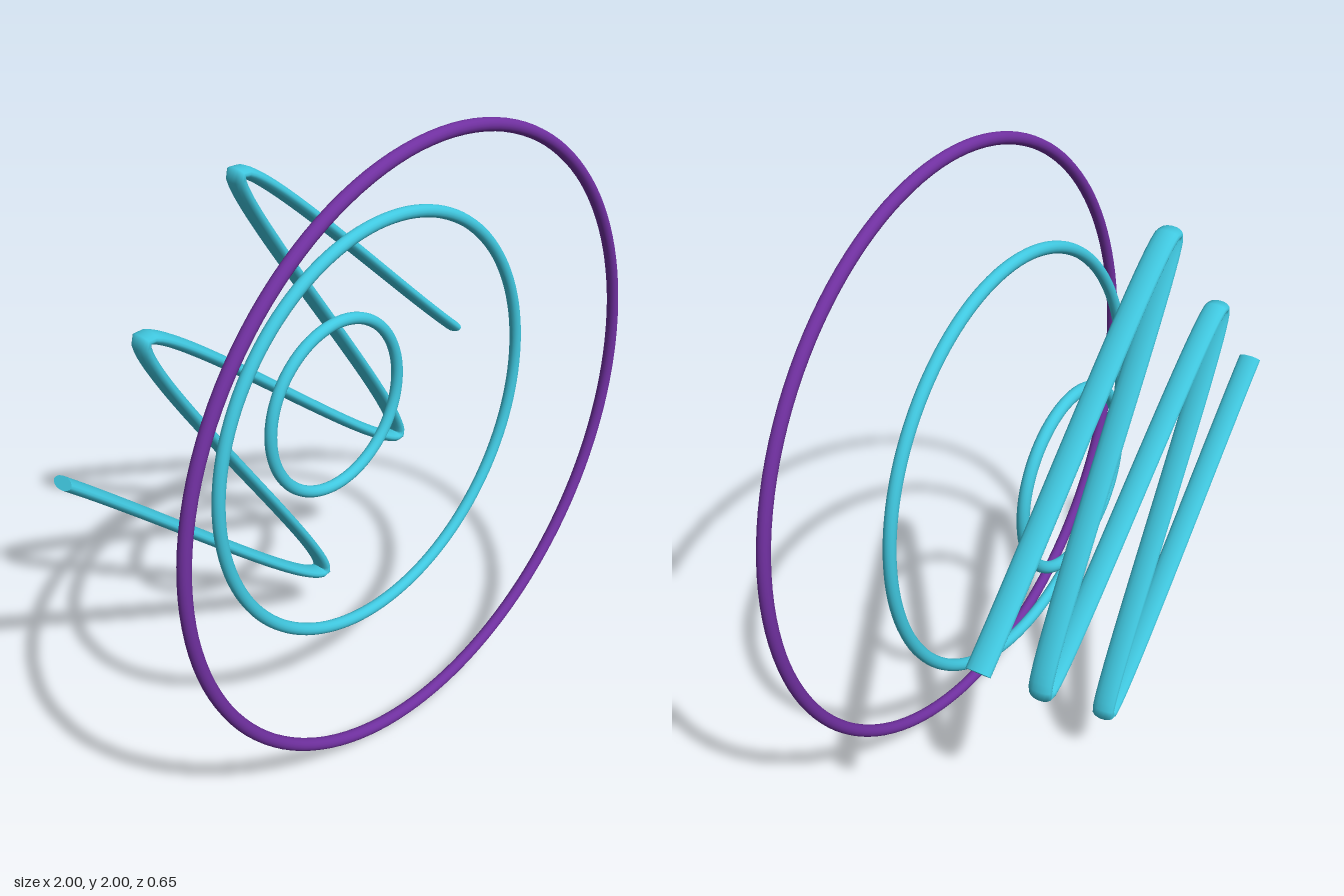
import * as THREE from 'three';

const TUBE = 0.0196;

export function createModel() {
  const model = new THREE.Group();
  const purple = new THREE.MeshStandardMaterial({ color: 0x7030a0 });
  const cyan = new THREE.MeshStandardMaterial({ color: 0x40c8e0 });

  // Three upright rings, one behind the other
  const rings = [
    ['outerRing', 0.9804, 0.304, purple],
    ['middleRing', 0.686, 0.108, cyan],
    ['innerRing', 0.294, -0.088, cyan],
  ];
  for (const [name, radius, z, material] of rings) {
    const ring = new THREE.Mesh(new THREE.TorusGeometry(radius, TUBE, 16, 128), material);
    ring.name = name;
    ring.position.set(0, 1, z);
    model.add(ring);
  }

  // Zigzag spring behind the rings; its section is twice as deep as it is wide
  const spring = new THREE.Group();
  spring.name = 'zigzagSpring';
  spring.position.set(0, 1, -0.284);
  spring.scale.z = 2;
  const path = new THREE.CatmullRomCurve3([
    [-0.917, 0.061], [0.118, -0.807], [-0.596, 0.393],
    [0.519, -0.406], [-0.206, 0.784], [0.837, -0.083],
  ].map(([x, y]) => new THREE.Vector3(x, y, 0)));
  const wire = new THREE.Mesh(new THREE.TubeGeometry(path, 300, TUBE, 16), cyan);
  wire.name = 'springWire';
  spring.add(wire);

  // Flat caps on the two wire ends
  for (const [t, sign] of [[0, -1], [1, 1]]) {
    const cap = new THREE.Mesh(new THREE.CircleGeometry(TUBE, 16), cyan);
    cap.name = 'springEndCap';
    const end = path.getPoint(t);
    cap.position.copy(end);
    cap.lookAt(end.clone().addScaledVector(path.getTangent(t), sign));
    spring.add(cap);
  }
  model.add(spring);

  return model;
}
